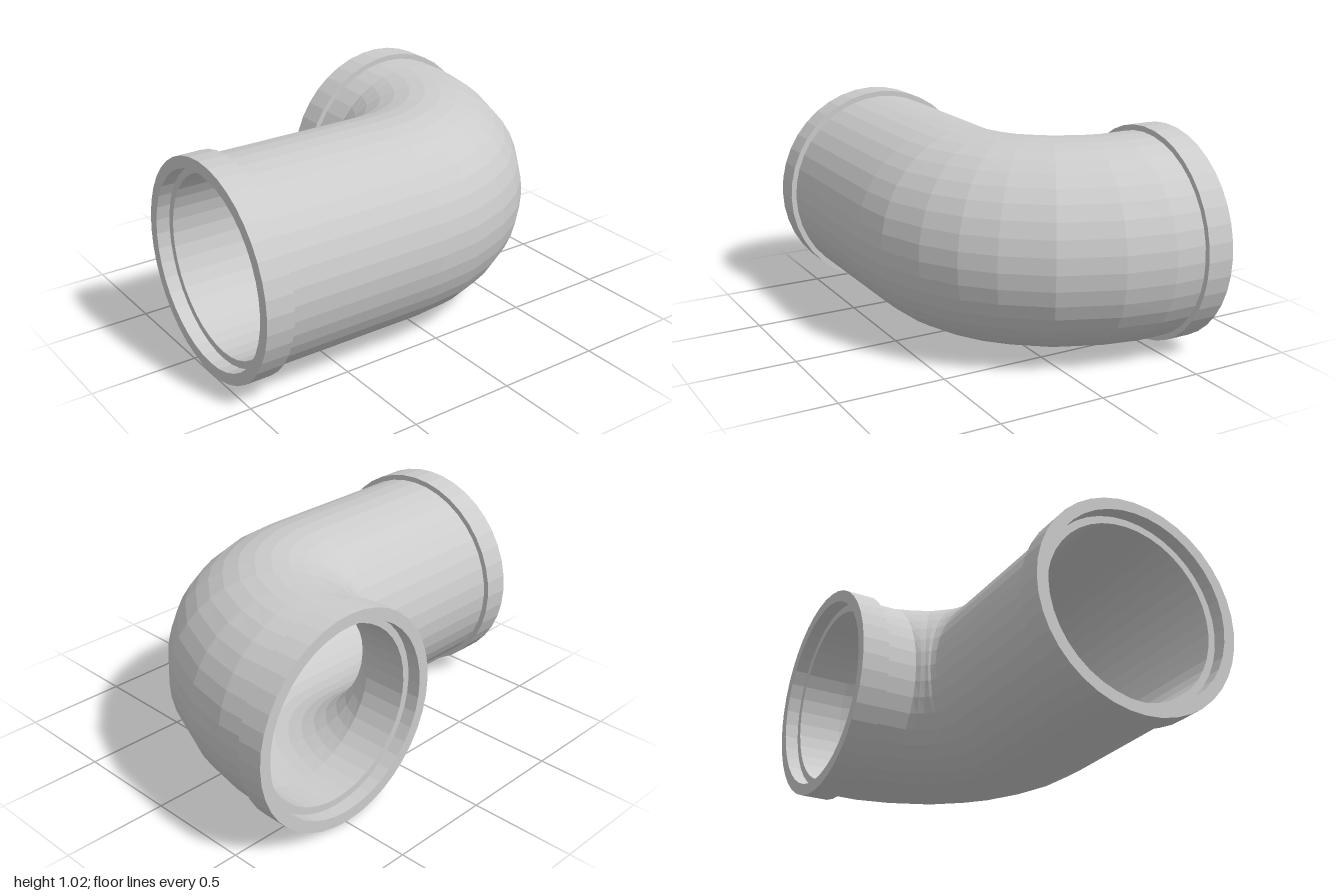
import * as THREE from 'three';

const SIDES = 40;
const AXIS_Y = 0.51;
const PIVOT = { x: -0.08, z: -0.39 };
const material = new THREE.MeshStandardMaterial({ color: 0xcccccc, flatShading: true });

// A station is a centre on the pipe's path and the direction (angle) of its cross-section.
const station = (x, z, angle) => ({ x, z, angle });
const inletAt = (x) => station(x, 0.16, 0);
const outletAt = (z) => station(0.49, z, Math.PI / 2);
const bendAt = ([deg, r]) => {
  const a = THREE.MathUtils.degToRad(deg);
  return station(PIVOT.x + r * Math.sin(a), PIVOT.z + r * Math.cos(a), a);
};

// Joins rings, given as [station, radius], into a closed tubular wall.
function wall(name, rings) {
  const positions = [];
  const index = [];
  for (const [s, r] of rings) {
    for (let j = 0; j < SIDES; j++) {
      const phi = (j / SIDES) * Math.PI * 2;
      const out = r * Math.cos(phi);
      positions.push(
        s.x + out * Math.sin(s.angle),
        AXIS_Y + r * Math.sin(phi),
        s.z + out * Math.cos(s.angle)
      );
    }
  }
  for (let i = 0; i < rings.length; i++) {
    const next = (i + 1) % rings.length;
    for (let j = 0; j < SIDES; j++) {
      const k = (j + 1) % SIDES;
      const a = i * SIDES + j, b = next * SIDES + j;
      const c = next * SIDES + k, d = i * SIDES + k;
      index.push(a, b, d, b, c, d);
    }
  }
  const geometry = new THREE.BufferGeometry();
  geometry.setAttribute('position', new THREE.Float32BufferAttribute(positions, 3));
  geometry.setIndex(index);
  geometry.computeVertexNormals();
  const mesh = new THREE.Mesh(geometry, material);
  mesh.name = name;
  return mesh;
}

// Hollow wall: outer skin forward along the path, inner skin back again.
function hollow(name, path, outer, inner) {
  return wall(name, [
    ...path.map((s) => [s, outer]),
    ...[...path].reverse().map((s) => [s, inner]),
  ]);
}

export function createModel() {
  const group = new THREE.Group();
  group.name = 'pipeElbow';

  // Bend stations: angle in degrees, distance from the pivot
  const bend = [
    [0, 0.55], [12, 0.55], [25, 0.547], [36, 0.547],
    [46, 0.543], [60, 0.547], [77, 0.553], [90, 0.57],
  ].map(bendAt);

  // Pipe, stopping short of the collar rims
  group.add(hollow('elbowPipe', [inletAt(-0.935), ...bend, outletAt(-0.605)], 0.484, 0.42));

  // Socket collars at both ends
  group.add(hollow('inletCollar', [inletAt(-1), inletAt(-0.87)], 0.51, 0.455));
  group.add(hollow('outletCollar', [outletAt(-0.54), outletAt(-0.67)], 0.51, 0.455));

  return group;
}
